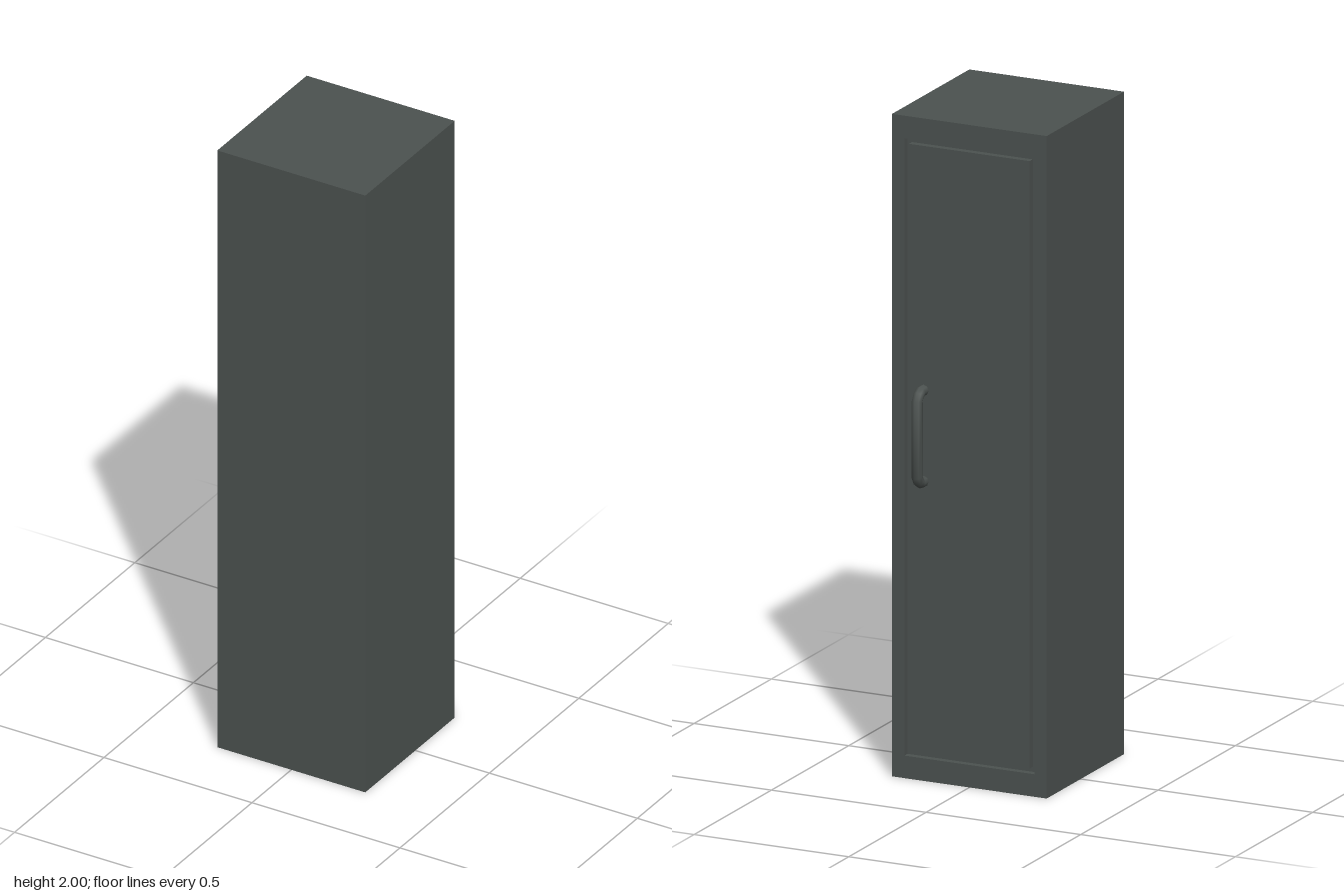
import * as THREE from 'three';

// Curve that puts one tube ring at each given point, so bends stay crisp
class BentPath extends THREE.Curve {
  constructor(points) {
    super();
    this.points = points;
  }
  index(t) {
    return Math.round(t * (this.points.length - 1));
  }
  getPoint(t, target = new THREE.Vector3()) {
    return target.copy(this.points[this.index(t)]);
  }
  getPointAt(t, target) {
    return this.getPoint(t, target);
  }
  getTangentAt(t, target = new THREE.Vector3()) {
    const p = this.points, i = this.index(t), here = p[i];
    target.set(0, 0, 0);
    if (i > 0) target.add(here.clone().sub(p[i - 1]).normalize());
    if (i < p.length - 1) target.add(p[i + 1].clone().sub(here).normalize());
    return target.normalize();
  }
}

export function createModel() {
  const group = new THREE.Group();
  const material = new THREE.MeshStandardMaterial({ color: 0x4c5250 });

  const W = 0.5, H = 2, front = 0.28, back = -0.22;
  const sideRail = 0.04, endRail = 0.068, gap = 0.015, depth = 0.02;

  function add(name, geometry, x = 0, y = 0, z = 0) {
    const mesh = new THREE.Mesh(geometry, material);
    mesh.name = name;
    mesh.position.set(x, y, z);
    group.add(mesh);
  }

  // Cabinet body, up to the floor of the door groove
  const bodyDepth = front - back - depth;
  add('cabinetBody', new THREE.BoxGeometry(W, H, bodyDepth), 0, H / 2, front - bodyDepth / 2);

  // Frame around the door opening
  const outline = new THREE.Shape([[-1, -1], [1, -1], [1, 1], [-1, 1]]
    .map(([x, y]) => new THREE.Vector2(x * W / 2, y * H / 2)));
  outline.holes.push(new THREE.Path([[-1, -1], [-1, 1], [1, 1], [1, -1]]
    .map(([x, y]) => new THREE.Vector2(x * (W / 2 - sideRail), y * (H / 2 - endRail)))));
  add('doorFrame', new THREE.ExtrudeGeometry(outline, { depth, bevelEnabled: false }), 0, H / 2, back);

  // Flush door, separated from the frame by a narrow groove
  add('door', new THREE.BoxGeometry(W - 2 * (sideRail + gap), H - 2 * (endRail + gap), depth),
    0, H / 2, back + depth / 2);

  // Bent tubular pull handle
  const handlePoints = [
    [1.18, -0.21], [1.18, -0.24], [1.172, -0.252], [1.155, -0.263],
    [0.93, -0.263], [0.913, -0.252], [0.905, -0.24], [0.905, -0.21],
  ].map(([y, z]) => new THREE.Vector3(0.148, y, z));
  add('handle', new THREE.TubeGeometry(new BentPath(handlePoints), handlePoints.length - 1, 0.0165, 8));

  return group;
}
